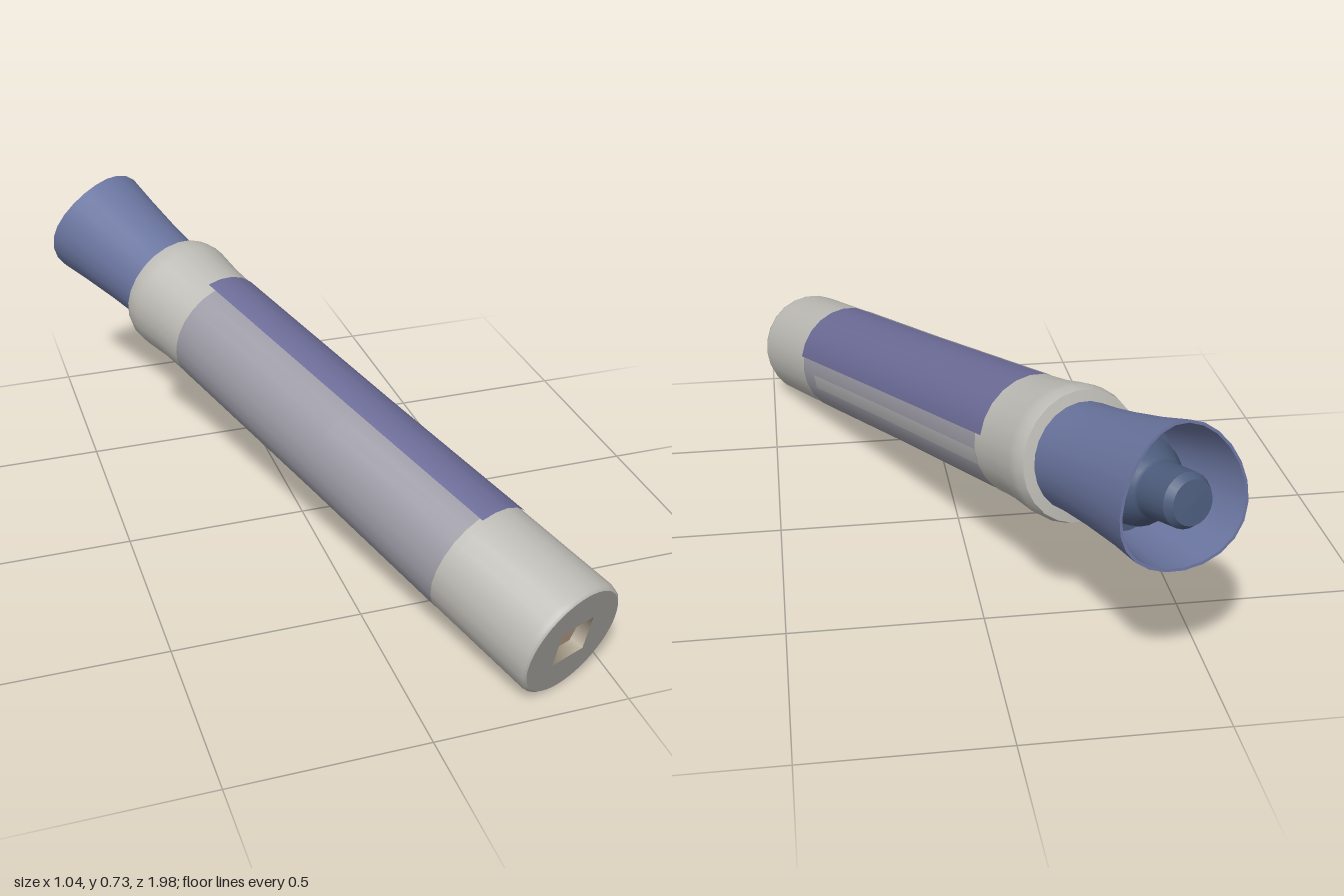
import * as THREE from 'three';

const SIDES = 24; // 15 degrees per side, so the printed patches line up with the barrel
const STEP = (Math.PI * 2) / SIDES;

function material(color, side = THREE.FrontSide) {
  const m = new THREE.MeshStandardMaterial({ color });
  m.side = side;
  return m;
}

function part(name, geometry, mat) {
  const mesh = new THREE.Mesh(geometry, mat);
  mesh.name = name;
  return mesh;
}

// Surface of revolution from [radius, distance along the pen]; repeated points make creases.
// Angle 0 is the top of the pen, positive angles go towards +x.
function turned(profile, first = 0, count = SIDES) {
  const points = profile.map(([r, s]) => new THREE.Vector2(r, s));
  return new THREE.LatheGeometry(points, count, first * STEP, count * STEP);
}

export function createModel() {
  const model = new THREE.Group();
  model.name = 'markerPen';

  // Lay the pen along its slanted axis, from the butt end to the open cap end
  const butt = new THREE.Vector3(0.37, 0.16, 0.935);
  const tip = new THREE.Vector3(-0.37, 0.57, -0.93);
  const along = tip.clone().sub(butt).normalize();
  const side = new THREE.Vector3().crossVectors(along, new THREE.Vector3(0, 1, 0)).normalize();
  const top = new THREE.Vector3().crossVectors(side, along);
  const pen = new THREE.Group();
  pen.name = 'pen';
  pen.quaternion.setFromRotationMatrix(new THREE.Matrix4().makeBasis(side, along, top));
  pen.position.copy(butt);
  model.add(pen);

  const grey = material(0xbdbbb5);
  const blue = material(0x6a759f, THREE.DoubleSide);
  const darkBlue = material(0x4c5c7c);

  // Barrel with a softened butt edge and a swollen collar
  pen.add(part('barrel', turned([
    [0.15, 0], [0.158, 0.006], [0.161, 0.02], [0.16, 0.3], [0.157, 0.8], [0.158, 1.4],
    [0.161, 1.5], [0.17, 1.585], [0.17, 1.615], [0.163, 1.64], [0.163, 1.64], [0.13, 1.645],
  ]), grey));

  // Butt face with a square hole
  const face = new THREE.Shape().absarc(0, 0, 0.15, 0, Math.PI * 2, false);
  const h = 0.053;
  face.holes.push(new THREE.Path().setFromPoints(
    [[-h, -h], [-h, h], [h, h], [h, -h]].map(([x, y]) => new THREE.Vector2(x, y))));
  const faceGeometry = new THREE.ShapeGeometry(face, SIDES).rotateX(Math.PI / 2);
  pen.add(part('buttFace', faceGeometry, material(0xa3a19b)));

  // Tapered pit and the small five-sided plug inside it
  const pit = new THREE.CylinderGeometry(0.05, h * Math.SQRT2, 0.05, 4)
    .rotateY(Math.PI / 4).translate(0, 0.025, 0);
  pen.add(part('buttPit', pit, material(0xa39681, THREE.BackSide)));
  const plug = new THREE.CylinderGeometry(0.034, 0.03, 0.03, 5).translate(0, 0.035, 0);
  pen.add(part('buttPlug', plug, material(0xb09a86)));

  // Printed wrap: faded all around, strong panel on top, pale streak beside it
  const printed = (name, lift, from, to, first, count, color) => pen.add(part(name, turned([
    [0.16 + lift, from], [0.157 + lift, 0.8], [0.158 + lift, to],
  ], first, count), material(color)));
  printed('fadedWrap', 0.001, 0.32, 1.4, 0, SIDES, 0x9b99a3);
  printed('labelPanel', 0.003, 0.31, 1.43, -1, 6, 0x6c6c98);
  printed('paleStreak', 0.002, 0.4, 1.4, 6, 1, 0xaeacae);

  // Flared cap skirt, open at the end, with a gently wavy rim
  const start = 1.63, end = 2.045;
  const skirt = turned([
    [0.135, start], [0.136, 1.7], [0.143, 1.8], [0.156, 1.93], [0.17, end],
    [0.17, end], [0.163, end], [0.163, end], [0.148, 1.93], [0.135, 1.82],
  ]);
  const pos = skirt.attributes.position;
  for (let i = 0; i < pos.count; i++) {
    const angle = Math.atan2(pos.getX(i), pos.getZ(i));
    const reach = Math.max(0, (pos.getY(i) - 1.9) / (end - 1.9));
    pos.setY(i, pos.getY(i) - reach * (0.012 + 0.02 * Math.cos(2 * (angle + 0.55))));
  }
  pen.add(part('capSkirt', skirt, blue));

  // Floor of the cap and the stepped post standing in it
  pen.add(part('capPost', turned([
    [0.138, 1.82], [0.11, 1.825], [0.11, 1.825], [0.1, 1.9], [0.07, 1.95], [0.066, 1.96],
    [0.064, 2.05], [0.064, 2.05], [0.052, 2.07], [0.052, 2.07], [0, 2.073],
  ]), darkBlue));

  return model;
}
